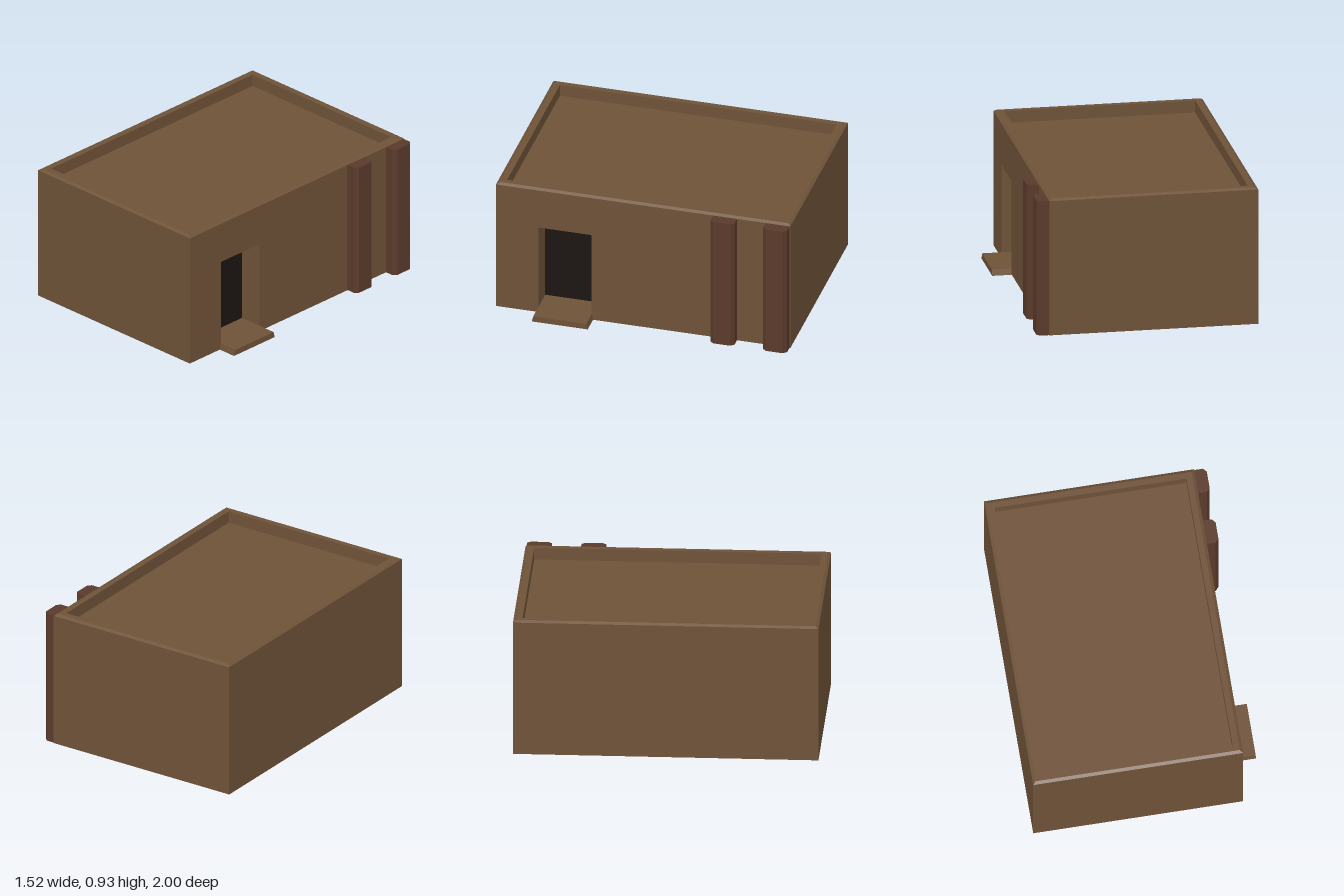
import * as THREE from 'three';

const wallMat = new THREE.MeshStandardMaterial({ color: 0x6e5238 });
const columnMat = new THREE.MeshStandardMaterial({ color: 0x5a3a2b });
const doorMat = new THREE.MeshStandardMaterial({ color: 0x1c1412 });

const L = -0.76, R = 0.63, HALF = 1, WALL_TOP = 0.92;
const door = { front: 0.71, back: 0.35, bottom: 0.04, top: 0.64, depth: 0.16 };

// Flat-shaded geometry from four-cornered faces, corners counter-clockwise
function quads(list) {
  const pos = list.flatMap(([a, b, c, d]) => [a, b, c, a, c, d].flat());
  const g = new THREE.BufferGeometry();
  g.setAttribute('position', new THREE.Float32BufferAttribute(pos, 3));
  g.computeVertexNormals();
  return g;
}

const shapeOf = pts => new THREE.Shape(pts.map(p => new THREE.Vector2(...p)));

export function createModel() {
  const group = new THREE.Group();
  const add = (name, geo, mat) => {
    const m = new THREE.Mesh(geo, mat);
    m.name = name;
    group.add(m);
    return m;
  };

  // Walls, bevelled parapet and sunken roof: rectangles of [inset, height]
  const rings = [[0, 0], [0, WALL_TOP], [0.02, 0.932], [0.06, 0.932], [0.06, 0.85]].map(([i, y]) => [
    [L + i, y, HALF - i], [R - i, y, HALF - i], [R - i, y, -HALF + i], [L + i, y, -HALF + i],
  ]);
  const walls = [], parapet = [];
  for (let k = 0; k < rings.length - 1; k++) {
    for (let e = 0; e < 4; e++) {
      if (k === 0 && e === 1) continue; // the doorway wall is made separately
      const n = (e + 1) % 4;
      (k ? parapet : walls).push([rings[k][e], rings[k][n], rings[k + 1][n], rings[k + 1][e]]);
    }
  }
  walls.push([...rings[0]].reverse());
  add('walls', quads(walls), wallMat);
  add('parapet', quads(parapet), wallMat);
  add('roof', quads([rings[4]]), wallMat);

  // Side wall with the door opening
  const side = shapeOf([[-HALF, 0], [HALF, 0], [HALF, WALL_TOP], [-HALF, WALL_TOP]]);
  side.holes.push(new THREE.Path([
    [-door.front, door.bottom], [-door.front, door.top],
    [-door.back, door.top], [-door.back, door.bottom],
  ].map(p => new THREE.Vector2(...p))));
  add('doorwayWall', new THREE.ShapeGeometry(side).rotateY(Math.PI / 2).translate(R, 0, 0), wallMat);

  // Recess lining and dark door panel
  const rect = x => [
    [x, door.bottom, door.front], [x, door.bottom, door.back],
    [x, door.top, door.back], [x, door.top, door.front],
  ];
  const outer = rect(R), inner = rect(R - door.depth);
  const lining = outer.map((p, i) => [p, outer[(i + 1) % 4], inner[(i + 1) % 4], inner[i]]);
  add('doorLining', quads(lining), wallMat);
  add('doorPanel', quads([inner]), doorMat);

  // Doorstep with sloping ends
  const step = shapeOf([[-0.72, 0], [-0.34, 0], [-0.35, 0.04], [-0.71, 0.04]]);
  add('doorstep', new THREE.ExtrudeGeometry(step, { depth: 0.13, bevelEnabled: false })
    .rotateY(Math.PI / 2).translate(R, 0, 0), wallMat);

  // Two chamfered columns against the side wall
  const column = shapeOf([[0, -0.082], [0.058, -0.082], [0.08, -0.058], [0.08, 0.058], [0.058, 0.082], [0, 0.082]]);
  const columnGeo = new THREE.ExtrudeGeometry(column, { depth: WALL_TOP, bevelEnabled: false }).rotateX(-Math.PI / 2);
  [['frontColumn', -0.555], ['backColumn', -0.912]].forEach(([name, z]) => {
    add(name, columnGeo, columnMat).position.set(R, 0, z);
  });

  return group;
}
